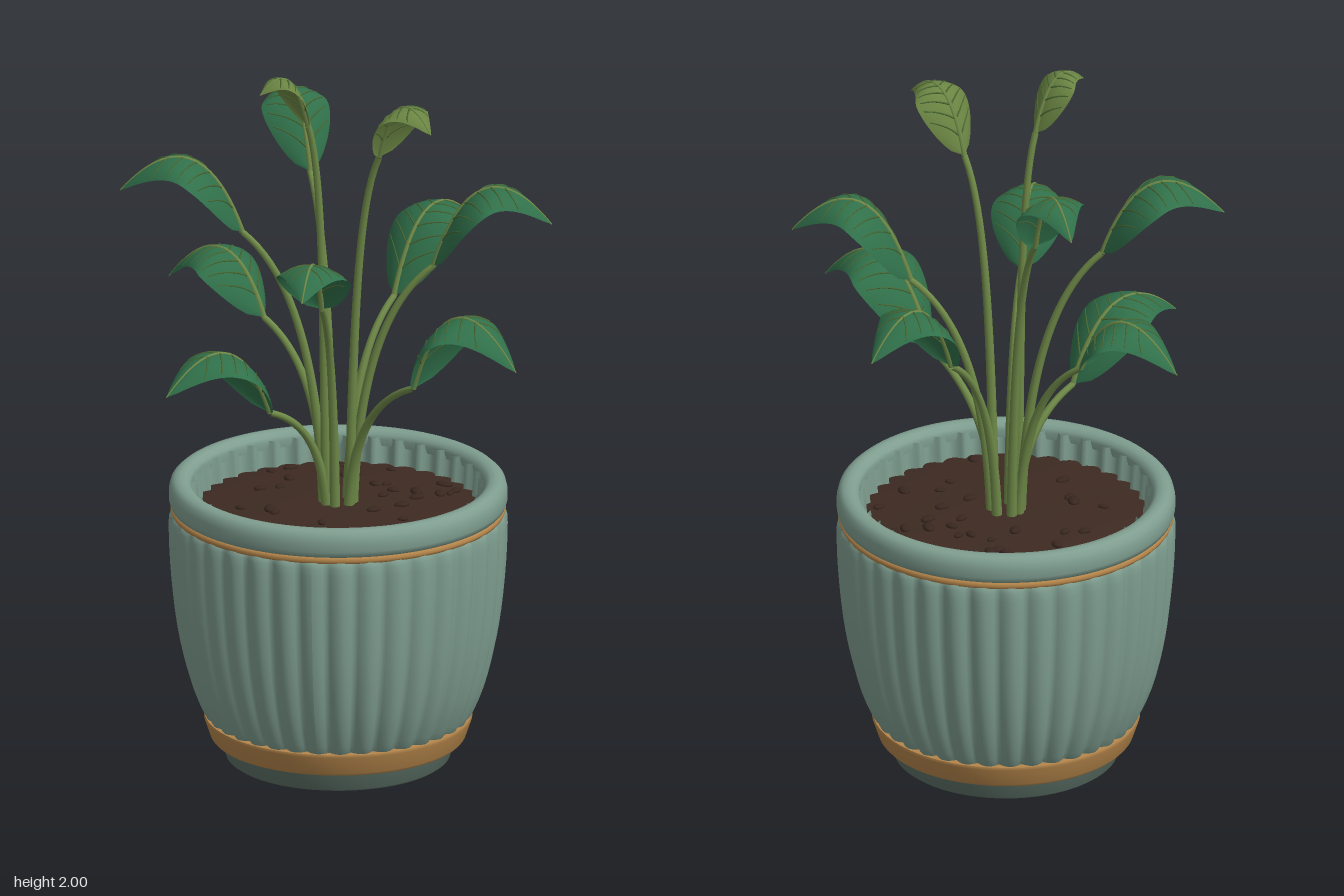
import * as THREE from 'three';
import { ParametricGeometry } from 'three/addons/geometries/ParametricGeometry.js';

const mat = (name, color, side = THREE.FrontSide) => {
  const m = new THREE.MeshStandardMaterial({ color, side });
  m.name = name;
  return m;
};
const V = (x, y, z) => new THREE.Vector3(x, y, z);

export function createModel() {
  const model = new THREE.Group();
  model.name = 'pottedPlant';
  const glaze = mat('sage glaze', 0x7f9e90);
  const footGlaze = mat('dark sage foot', 0x5c7067);
  const gold = mat('ochre trim', 0xb4854a);
  const earth = mat('soil brown', 0x3d2a22);
  const stone = mat('pebble brown', 0x38261f);
  const leafGreen = mat('leaf green', 0x30704a, THREE.DoubleSide);
  const youngGreen = mat('young leaf green', 0x6a8442, THREE.DoubleSide);
  const stemGreen = mat('stem green', 0x6f8a48);
  const veinGreen = mat('vein olive', 0x4a6a34);

  const add = (name, geo, material, parent = model) => {
    const mesh = new THREE.Mesh(geo, material);
    mesh.name = name;
    parent.add(mesh);
    return mesh;
  };
  const lathe = (pts, segs = 96) =>
    new THREE.LatheGeometry(pts.map(([r, y]) => new THREE.Vector2(r, y)), segs);

  // Lathe whose radius ripples into vertical flutes
  const FLUTES = 36;
  const fluted = (pts, amp) => {
    const curve = new THREE.SplineCurve(pts.map(([r, y]) => new THREE.Vector2(r, y)));
    const geo = new THREE.LatheGeometry(curve.getPoints(20), FLUTES * 8);
    const p = geo.attributes.position;
    for (let i = 0; i < p.count; i++) {
      const a = Math.atan2(p.getX(i), p.getZ(i));
      const r = Math.hypot(p.getX(i), p.getZ(i));
      const k = 1 + (amp * (Math.abs(Math.cos(a * FLUTES / 2)) - 0.75)) / r;
      p.setXYZ(i, p.getX(i) * k, p.getY(i), p.getZ(i) * k);
    }
    geo.computeVertexNormals();
    return geo;
  };

  // Pot
  add('potFoot', lathe([[0, 0], [0.295, 0], [0.295, 0], [0.306, 0.008], [0.322, 0.062], [0.322, 0.062], [0.3, 0.07]]), footGlaze);
  add('footBand', lathe([[0.3, 0.06], [0.342, 0.06], [0.342, 0.06], [0.349, 0.068], [0.366, 0.118],
    [0.364, 0.126], [0.364, 0.126], [0.33, 0.128]]), gold);
  add('potBody', fluted([[0.345, 0.115], [0.365, 0.14], [0.398, 0.22], [0.424, 0.32], [0.441, 0.42],
    [0.453, 0.54], [0.458, 0.64], [0.456, 0.705], [0.435, 0.72]], 0.016), glaze);
  const ring = add('rimRing', new THREE.TorusGeometry(0.447, 0.011, 8, 96), gold);
  ring.rotation.x = Math.PI / 2;
  ring.position.y = 0.718;
  add('potRim', lathe([[0.41, 0.722], [0.445, 0.724], [0.457, 0.73], [0.462, 0.745], [0.462, 0.77], [0.457, 0.79],
    [0.445, 0.801], [0.43, 0.804], [0.415, 0.801], [0.404, 0.792], [0.4, 0.78], [0.402, 0.76]]), glaze);
  add('potInnerWall', fluted([[0.403, 0.785], [0.4, 0.75], [0.396, 0.69]], 0.024), glaze);

  // Soil with scattered flat pebbles
  const soilY = (r) => 0.735 - 0.025 * (r / 0.4) ** 2;
  add('soil', lathe([0.41, 0.3, 0.2, 0.1, 0].map((r) => [r, soilY(r)])), earth);
  let seed = 7;
  const rand = () => (seed = (seed * 16807) % 2147483647) / 2147483647;
  const pebbleGeo = new THREE.SphereGeometry(1, 12, 8);
  for (let i = 0; i < 34; i++) {
    const a = rand() * Math.PI * 2, r = 0.12 + 0.25 * rand(), s = 0.014 + 0.012 * rand();
    const pebble = add('pebble', pebbleGeo, stone);
    pebble.position.set(r * Math.cos(a), soilY(r) + 0.002, r * Math.sin(a));
    pebble.scale.set(s, s * 0.4, s * 0.65);
    pebble.rotation.y = rand() * Math.PI;
  }

  // Tube that narrows from r0 to r1
  const taperedTube = (curve, segs, r0, r1, sides = 8) => {
    const geo = new THREE.TubeGeometry(curve, segs, 1, sides);
    const p = geo.attributes.position, v = V(0, 0, 0);
    for (let i = 0; i < p.count; i++) {
      const t = Math.floor(i / (sides + 1)) / segs;
      const c = curve.getPointAt(t);
      v.fromBufferAttribute(p, i).sub(c).multiplyScalar(r0 + (r1 - r0) * t).add(c);
      p.setXYZ(i, v.x, v.y, v.z);
    }
    return geo;
  };

  // One stem with its arched leaf
  const addLeaf = (base, tip, peak, width, bladeMat, pairs) => {
    const group = new THREE.Group();
    group.name = 'leafStalk';
    model.add(group);
    const out = V(tip.x - base.x, 0, tip.z - base.z);
    const side = V(out.z, 0, -out.x).normalize();
    const rise = peak - base.y, drop = tip.y - base.y;
    const c = rise + Math.sqrt(rise * (rise - drop));
    const ctrl = base.clone().addScaledVector(out, 0.36).add(V(0, c, 0));
    const rib = new THREE.QuadraticBezierCurve3(base, ctrl, tip);

    // Stem
    const r = Math.hypot(base.x, base.z), ux = base.x / r, uz = base.z / r, h = base.y - 0.72;
    const at = (d, k) => V(ux * d, 0.72 + h * k, uz * d);
    const stem = new THREE.CubicBezierCurve3(at(0.04, 0), at(0.055, 0.55), at(r * 0.5, 0.86), base);
    add('stem', taperedTube(stem, 28, 0.0145, 0.009), stemGreen, group);

    // Blade drooping to either side of the rib
    const surface = (t, s, lift = 0) => {
      const half = 0.5 * width * Math.pow(Math.max(0, Math.sin(Math.PI * Math.pow(t, 0.72))), 0.8);
      const up = rib.getTangent(t).cross(side);
      if (up.y < 0) up.negate();
      return rib.getPoint(t).addScaledVector(side, s * half)
        .addScaledVector(up, lift - 0.38 * half * s * s);
    };
    add('leafBlade', new ParametricGeometry((u, v, target) => target.copy(surface(v, u * 2 - 1)), 14, 26), bladeMat, group);

    // Midrib and side veins
    add('midrib', taperedTube(rib, 20, 0.0085, 0.002, 6), stemGreen, group);
    for (let i = 0; i < pairs; i++) {
      const t0 = 0.1 + (0.68 * i) / pairs;
      for (const sgn of [-1, 1]) {
        const pts = [0, 0.3, 0.6, 0.88].map((s) => surface(t0 + 0.17 * s, sgn * s, 0.0005));
        add('sideVein', taperedTube(new THREE.CatmullRomCurve3(pts), 8, 0.003, 0.0015, 5), veinGreen, group);
      }
    }
  };

  // Mature leaves: base, tip, peak height, width
  [
    [V(0.26, 1.42, -0.02), V(0.585, 1.555, -0.03), 1.655, 0.25],
    [V(0.235, 1.13, 0.17), V(0.545, 1.25, 0.337), 1.37, 0.265],
    [V(-0.012, 1.36, 0.21), V(-0.022, 1.47, 0.492), 1.535, 0.205],
    [V(-0.16, 1.04, 0.175), V(-0.405, 1.16, 0.437), 1.25, 0.245],
    [V(-0.26, 1.51, 0.035), V(-0.588, 1.63, 0.087), 1.725, 0.25],
    [V(-0.22, 1.22, -0.095), V(-0.503, 1.28, -0.227), 1.395, 0.24],
    [V(-0.105, 1.62, -0.175), V(-0.235, 1.74, -0.39), 1.82, 0.195],
    [V(0.12, 1.26, -0.215), V(0.3, 1.39, -0.498), 1.485, 0.23],
  ].forEach(([b, t, peak, w]) => addLeaf(b, t, peak, w, leafGreen, 6));

  // Young leaves at the top
  addLeaf(V(0.125, 1.76, 0.075), V(0.29, 1.88, 0.215), 1.935, 0.17, youngGreen, 6);
  addLeaf(V(-0.07, 1.84, 0.078), V(-0.185, 1.96, 0.19), 1.995, 0.135, youngGreen, 5);

  return model;
}
